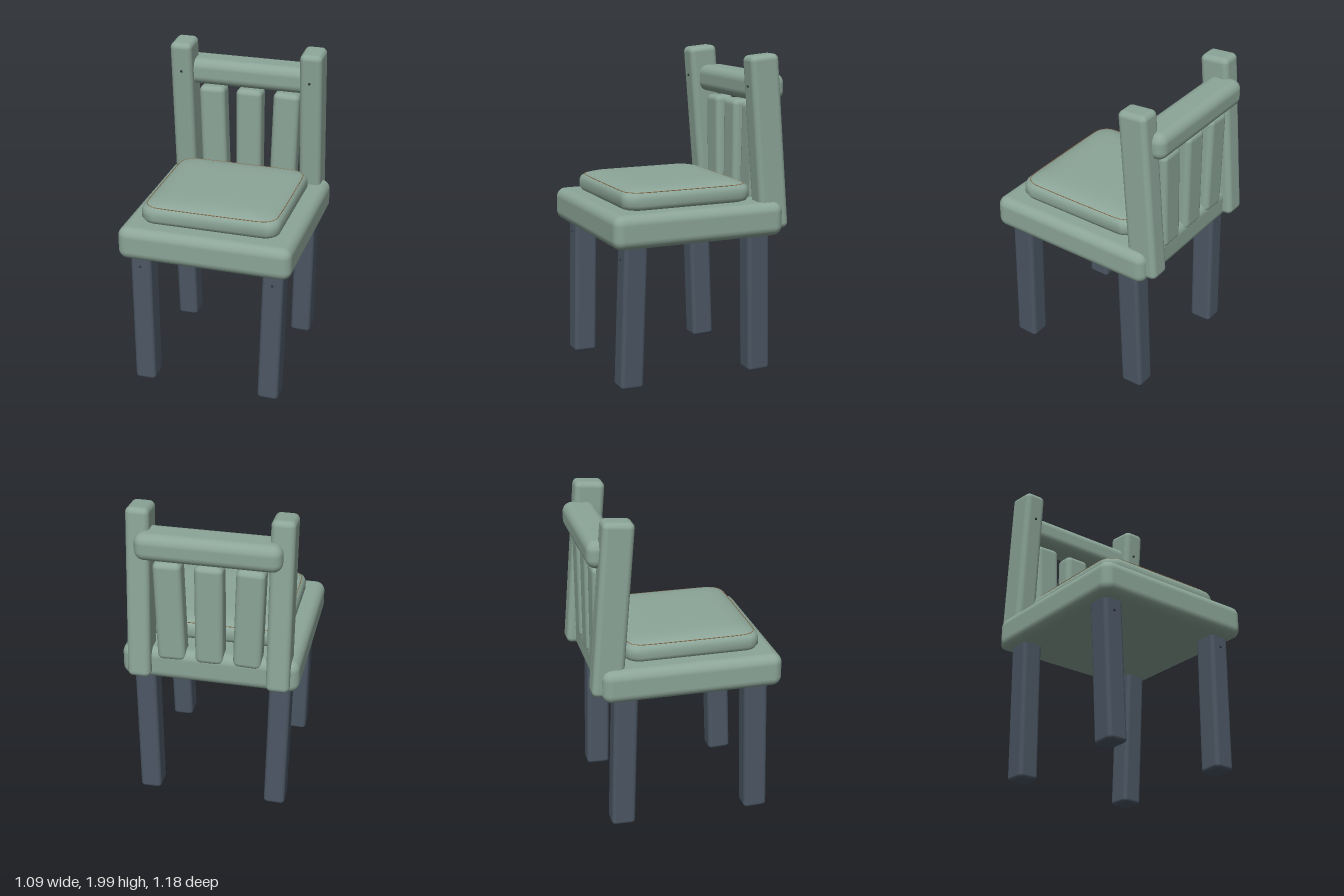
import * as THREE from 'three';
import { RoundedBoxGeometry } from 'three/addons/geometries/RoundedBoxGeometry.js';

export function createModel() {
  const model = new THREE.Group();
  model.name = 'chair';
  const material = (name, color) => {
    const m = new THREE.MeshStandardMaterial({ color });
    m.name = name;
    return m;
  };
  const sage = material('sage green', 0x8ca598);
  const slate = material('slate grey', 0x4b5663);
  const brown = material('seam brown', 0x8a6a48);
  const dark = material('nail dark', 0x333a40);

  const add = (name, geometry, mat, x = 0, y = 0, z = 0) => {
    const mesh = new THREE.Mesh(geometry, mat);
    mesh.name = name;
    mesh.position.set(x, y, z);
    model.add(mesh);
    return mesh;
  };
  const block = (name, w, h, d, r, mat, x, y, z) =>
    add(name, new RoundedBoxGeometry(w, h, d, 4, r), mat, x, y, z);

  // Seat slab
  block('seat', 1.09, 0.21, 1.12, 0.06, sage, 0, 0.985, 0.03);

  // Legs, feet spread along z and drawn in slightly along x
  const up = new THREE.Vector3(0, 1, 0);
  for (const side of [-1, 1]) {
    for (const [end, zFoot, zTop] of [['front', 0.46, 0.433], ['back', -0.405, -0.378]]) {
      const foot = new THREE.Vector3(side * 0.404, 0.004, zFoot);
      const top = new THREE.Vector3(side * 0.423, 0.95, zTop);
      const axis = top.clone().sub(foot);
      const c = foot.clone().add(top).multiplyScalar(0.5);
      const leg = block(end + 'Leg', 0.133, axis.length(), 0.15, 0.025, slate, c.x, c.y, c.z);
      leg.quaternion.setFromUnitVectors(up, axis.normalize());
    }
    // Back posts, leaning forward at the top
    const post = block('backPost', 0.142, 1.085, 0.19, 0.035, sage, side * 0.425, 1.45, -0.45);
    post.rotation.x = 0.083;

    // Nail heads
    const nail = new THREE.SphereGeometry(0.009, 10, 8);
    add('postNail', nail, dark, side * 0.421, 1.8, -0.326);
    add('legNail', nail, dark, side * 0.421, 0.81, 0.511);
  }

  // Top rail
  block('topRail', 0.87, 0.17, 0.21, 0.06, sage, 0, 1.783, -0.48);

  // Slats, outer ones fanning out
  for (const i of [-1, 0, 1]) {
    const slat = block('slat', 0.172, 0.65, 0.13, 0.035, sage, i * 0.24, 1.355, -0.475);
    slat.rotation.z = -i * 0.03;
  }

  // Cushion: rounded rectangle rings lofted along a profile of [inset, height]
  const W = 0.438, D = 0.423, ZC = 0.057, ARC = 6;
  const ring = (inset, y) => {
    const hw = W - inset, hd = D - inset;
    const r = Math.min(0.09, hw * 0.4, hd * 0.4);
    const points = [];
    for (let q = 0; q < 4; q++) {
      const sx = q === 0 || q === 3 ? 1 : -1;
      const sz = q < 2 ? 1 : -1;
      for (let k = 0; k <= ARC; k++) {
        const a = (q + k / ARC) * Math.PI / 2;
        points.push(new THREE.Vector3(
          sx * (hw - r) + r * Math.cos(a), y, ZC + sz * (hd - r) + r * Math.sin(a)));
      }
    }
    return points;
  };
  const profile = [
    [0.04, 1.085], [0.012, 1.097], [0, 1.12], [0, 1.16], [0.008, 1.183], [0.025, 1.197],
    [0.045, 1.207], [0.08, 1.217], [0.14, 1.224], [0.25, 1.225], [0.4, 1.224],
  ];
  const rings = profile.map(([inset, y]) => ring(inset, y));
  const n = rings[0].length;
  const positions = [], index = [];
  rings.forEach(points => points.forEach(p => positions.push(p.x, p.y, p.z)));
  for (let j = 0; j < rings.length - 1; j++) {
    for (let i = 0; i < n; i++) {
      const a = j * n + i, b = j * n + (i + 1) % n;
      index.push(a, a + n, b, b, a + n, b + n);
    }
  }
  // Close the centre of the top
  const centre = positions.length / 3, last = (rings.length - 1) * n;
  positions.push(0, 1.224, ZC);
  for (let i = 0; i < n; i++) index.push(last + i, centre, last + (i + 1) % n);
  const cushion = new THREE.BufferGeometry();
  cushion.setAttribute('position', new THREE.Float32BufferAttribute(positions, 3));
  cushion.setIndex(index);
  cushion.computeVertexNormals();
  add('cushion', cushion, sage);

  // Fine seam around the top of the cushion
  const seamPath = new THREE.CatmullRomCurve3(ring(0.025, 1.197), true);
  add('cushionSeam', new THREE.TubeGeometry(seamPath, 120, 0.0025, 5, true), brown);

  return model;
}
